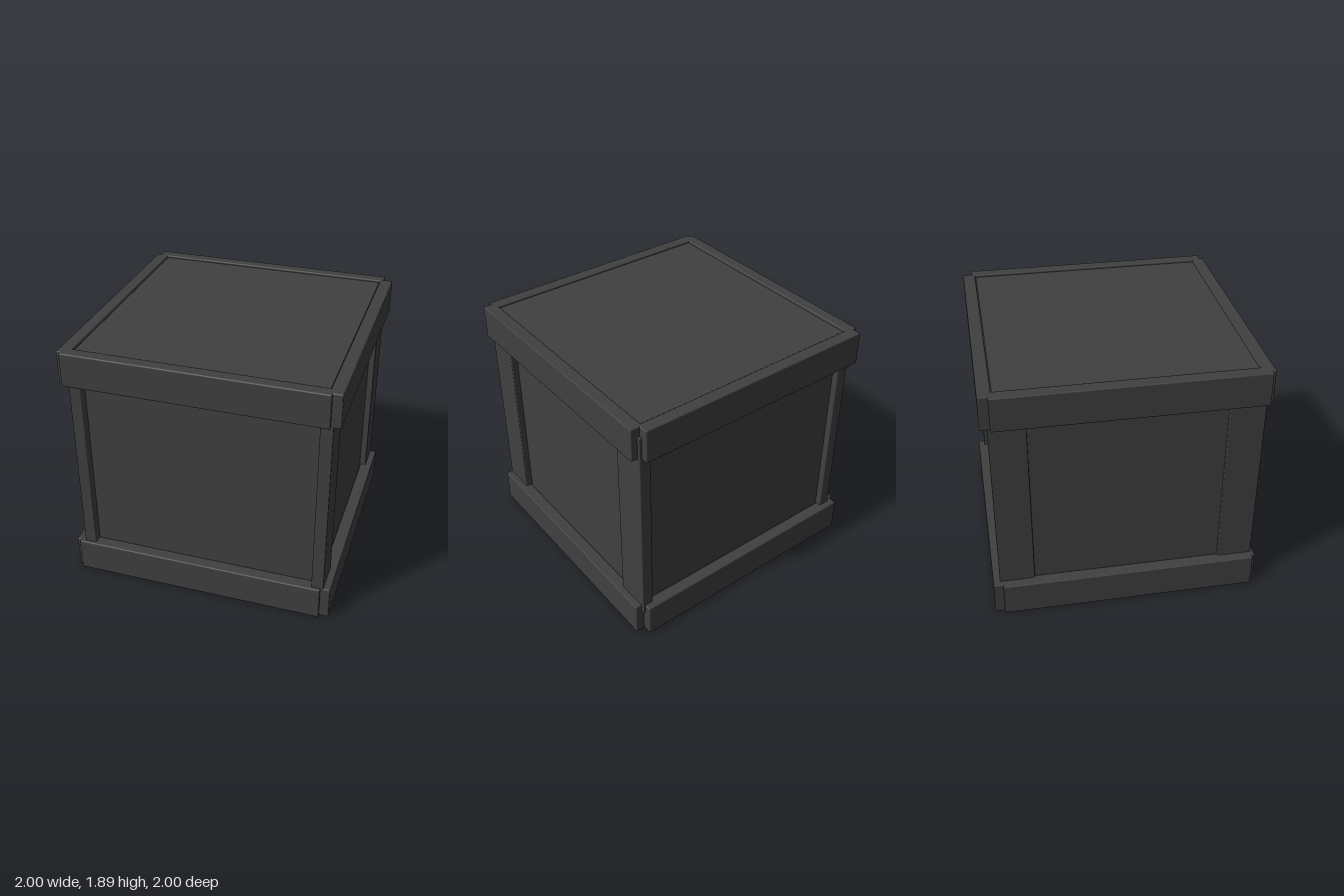
import * as THREE from 'three';
import { RoundedBoxGeometry } from 'three/addons/geometries/RoundedBoxGeometry.js';

const material = new THREE.MeshStandardMaterial({ color: 0x404040 });

// Box given by its extents on each axis, with an optional small bevel
function block(name, [x0, x1], [y0, y1], [z0, z1], bevel = 0) {
  const size = [x1 - x0, y1 - y0, z1 - z0];
  const geometry = bevel
    ? new RoundedBoxGeometry(...size, 1, bevel)
    : new THREE.BoxGeometry(...size);
  const mesh = new THREE.Mesh(geometry, material);
  mesh.name = name;
  mesh.position.set((x0 + x1) / 2, (y0 + y1) / 2, (z0 + z1) / 2);
  return mesh;
}

export function createModel() {
  const crate = new THREE.Group();
  crate.name = 'crate';

  // Main body forming the side panels, lid and floor
  crate.add(block('body', [-0.9, 0.9], [0.015, 1.872], [-0.9, 0.9]));

  // Four corner boards, wide on the sides and narrow on the front and back
  for (const [side, x] of [['right', [-0.93, -0.84]], ['left', [0.86, 0.95]]]) {
    for (const [end, z] of [['Front', [0.71, 0.97]], ['Back', [-0.95, -0.69]]]) {
      crate.add(block(`${side}${end}CornerBoard`, x, [0.18, 1.81], z, 0.008));
    }
  }

  // Bottom and top frames of four overlapping rails each
  for (const [level, y] of [['bottom', [0, 0.26]], ['top', [1.63, 1.887]]]) {
    const frame = new THREE.Group();
    frame.name = `${level}Frame`;
    frame.add(
      block('frontRail', [-0.97, 0.93], y, [0.9, 0.995], 0.01),
      block('backRail', [-0.97, 0.93], y, [-1, -0.905], 0.01),
      block('rightRail', [-1, -0.905], y, [-0.93, 0.97], 0.01),
      block('leftRail', [0.905, 1], y, [-0.93, 0.97], 0.01),
    );
    crate.add(frame);
  }
  return crate;
}
